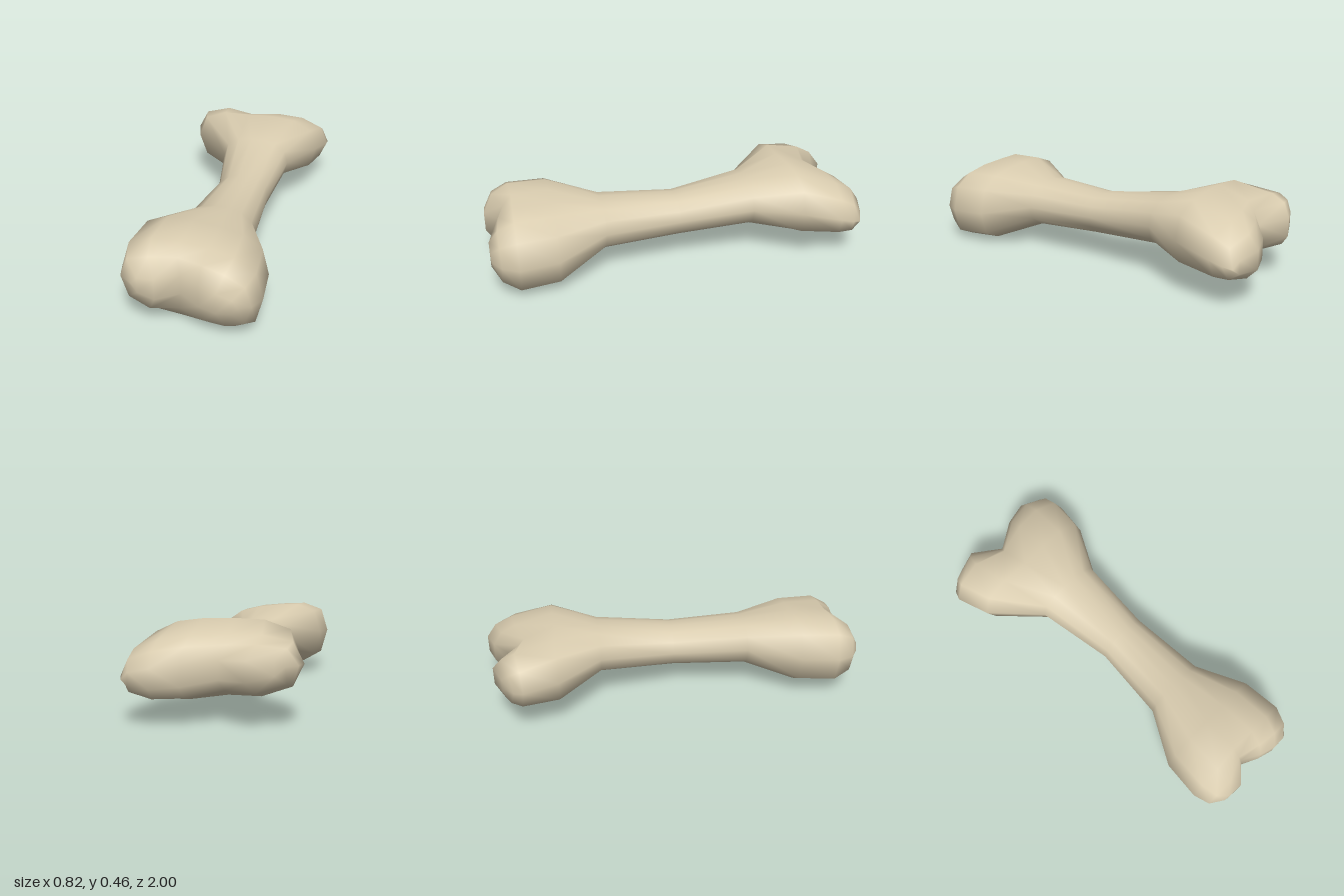
import * as THREE from 'three';

// Columns across the width of every cross-section; column 3 runs through the notch.
const COLS = [-1, -0.88, -0.55, -0.15, 0.25, 0.6, 0.9, 1];
const LAST = COLS.length - 1;
const RING = 2 * LAST; // points in one loop

// How far each column of the knuckles stays short of the tip
const BACK_DIP = [0.11, 0.09, 0.045, 0.14, 0.04, 0, 0.035, 0.05];
const FRONT_DIP = [0.015, 0.01, 0.005, 0.09, 0.035, 0.01, 0.01, 0.015];

// Cross-sections from back to front; pull = how strongly the section follows the knuckles
const SECTIONS = [
  { z: -1.0, cx: 0.025, w: 0.365, cy: 0.25, h: 0.05, tilt: -0.1, pull: 1, p: 3 },
  { z: -0.95, cx: 0.008, w: 0.4, cy: 0.255, h: 0.115, tilt: -0.08, pull: 0.9, p: 3 },
  { z: -0.86, cx: 0, w: 0.41, cy: 0.265, h: 0.145, tilt: -0.06, pull: 0.5, p: 3 },
  { z: -0.64, cx: 0.005, w: 0.365, cy: 0.29, h: 0.175, tilt: -0.03, pull: 0.1, p: 3 },
  { z: -0.4, cx: 0.05, w: 0.19, cy: 0.28, h: 0.125, tilt: -0.03, pull: 0, p: 2.4 },
  { z: 0, cx: 0.07, w: 0.14, cy: 0.243, h: 0.112, tilt: 0, pull: 0, p: 2.2 },
  { z: 0.4, cx: 0.058, w: 0.173, cy: 0.245, h: 0.125, tilt: -0.05, pull: 0, p: 2.4 },
  { z: 0.66, cx: 0.045, w: 0.315, cy: 0.225, h: 0.195, tilt: -0.12, pull: 0, p: 3 },
  { z: 0.86, cx: 0.043, w: 0.333, cy: 0.215, h: 0.2, tilt: -0.11, pull: 0.1, p: 3 },
  { z: 0.95, cx: 0.038, w: 0.305, cy: 0.22, h: 0.145, tilt: -0.11, pull: 0.6, p: 3 },
  { z: 1.0, cx: 0.045, w: 0.245, cy: 0.225, h: 0.055, tilt: -0.1, pull: 1, p: 3 },
];

// One point of a cross-section: bottom left to right, then top right to left
function sectionPoint(s, j) {
  const col = j <= LAST ? j : RING - j;
  const side = j <= LAST ? -1 : 1;
  const t = COLS[col];
  const round = Math.pow(Math.max(0, 1 - Math.pow(Math.abs(t), s.p)), 1 / s.p);
  const saddle = col === 3 ? 1 - 0.12 * s.pull : 1;
  const x = s.cx + t * s.w;
  const y = s.cy + s.tilt * x + side * s.h * round * saddle;
  const z = s.z + s.pull * (s.z < 0 ? BACK_DIP[col] : -FRONT_DIP[col]);
  return [x, y, z];
}

function boneGeometry() {
  const positions = [];
  const index = [];
  for (const s of SECTIONS) {
    for (let j = 0; j < RING; j++) positions.push(...sectionPoint(s, j));
  }
  const tri = (a, b, c) => {
    if (a !== b && b !== c && a !== c) index.push(a, b, c);
  };
  // Skin between neighbouring sections
  for (let i = 0; i < SECTIONS.length - 1; i++) {
    for (let j = 0; j < RING; j++) {
      const a = i * RING + j;
      const b = i * RING + ((j + 1) % RING);
      tri(a, b, b + RING);
      tri(a, b + RING, a + RING);
    }
  }
  // Strips closing the two knuckle faces
  const end = (SECTIONS.length - 1) * RING;
  for (let k = 0; k < LAST; k++) {
    const top = (RING - k) % RING;
    const nextTop = RING - k - 1;
    tri(end + k, end + k + 1, end + nextTop);
    tri(end + k, end + nextTop, end + top);
    tri(k, nextTop, k + 1);
    tri(k, top, nextTop);
  }
  const geometry = new THREE.BufferGeometry();
  geometry.setAttribute('position', new THREE.Float32BufferAttribute(positions, 3));
  geometry.setIndex(index);
  // Rest the lowest point on the ground
  geometry.computeBoundingBox();
  geometry.translate(0, -geometry.boundingBox.min.y, 0);
  geometry.computeVertexNormals();
  return geometry;
}

export function createModel() {
  const group = new THREE.Group();
  group.name = 'bone';
  const ivory = new THREE.MeshStandardMaterial({ color: 0xdacdb0 });
  ivory.name = 'ivory';
  const body = new THREE.Mesh(boneGeometry(), ivory);
  body.name = 'boneBody';
  group.add(body);
  return group;
}
